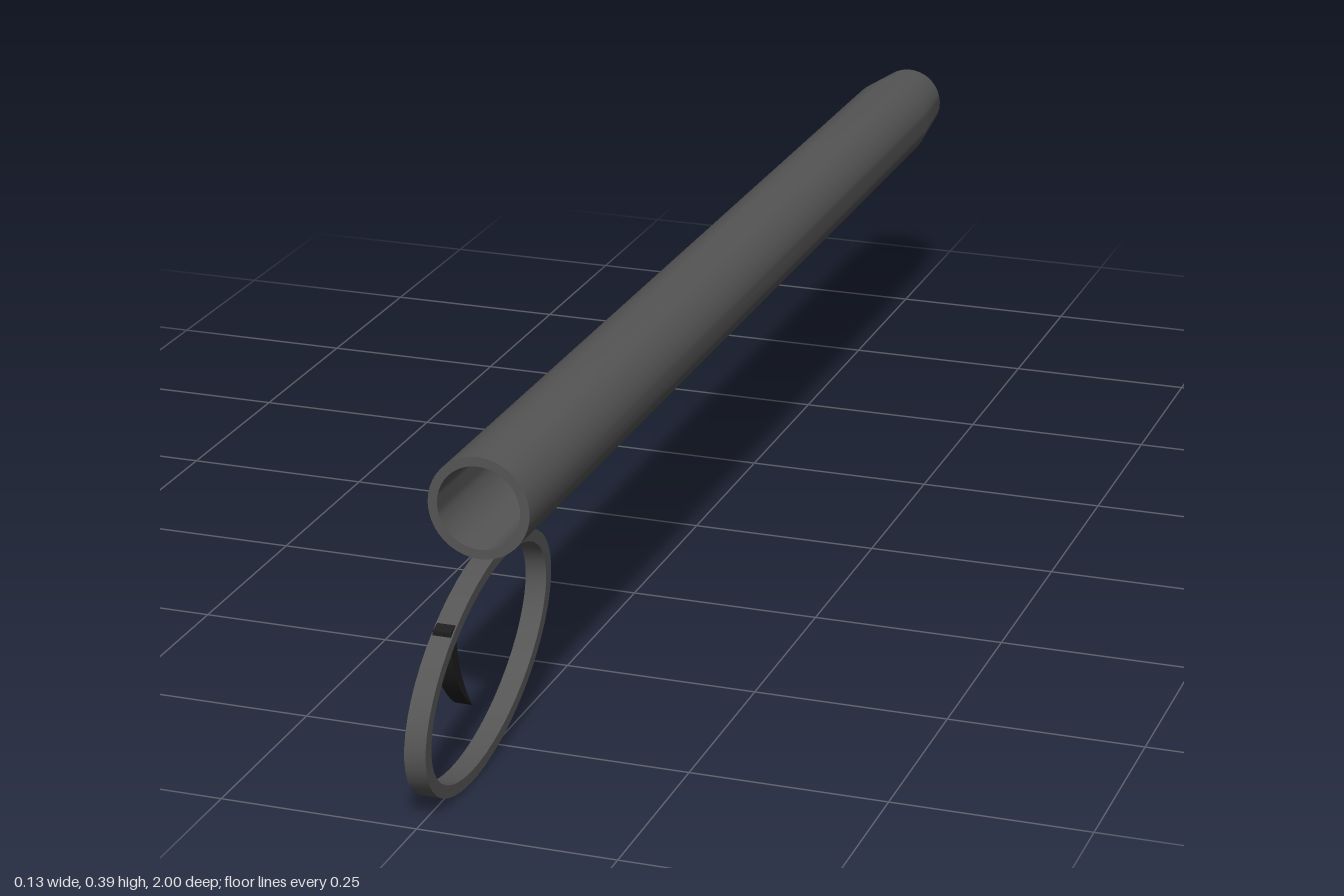
import * as THREE from 'three';
import { toCreasedNormals } from 'three/addons/utils/BufferGeometryUtils.js';

const steel = new THREE.MeshStandardMaterial({ color: 0x555555 });
steel.name = 'dark steel';
const black = new THREE.MeshStandardMaterial({ color: 0x1e1e1e });
black.name = 'black steel';

// Extrude a side profile drawn in (z, y), centred across x
function sidePlate(name, shape, width, material) {
  const geo = new THREE.ExtrudeGeometry(shape, { depth: width, bevelEnabled: false, curveSegments: 24 });
  geo.translate(0, 0, -width / 2);
  geo.rotateY(-Math.PI / 2);
  const mesh = new THREE.Mesh(toCreasedNormals(geo, 0.3), material);
  mesh.name = name;
  return mesh;
}

export function createModel() {
  const group = new THREE.Group();
  group.name = 'hollowRodWithRing';

  // Hollow tapered tube with a narrowed rear tip; profile is (radius, z)
  const profile = [
    [0.041, -1], [0.049, -1], [0.06, -0.89], [0.065, 0.79],
    [0.053, 0.79], [0.041, -1],
  ].map(([r, z]) => new THREE.Vector2(r, z));
  const tubeGeo = new THREE.LatheGeometry(profile, 40);
  tubeGeo.rotateX(Math.PI / 2);
  const tube = new THREE.Mesh(toCreasedNormals(tubeGeo, 0.5), steel);
  tube.name = 'tube';
  tube.position.y = 0.325;
  group.add(tube);

  // Tilted oval finger ring under the front end
  const tilt = -0.288;
  const oval = new THREE.Shape();
  oval.absellipse(0.794, 0.131, 0.212, 0.12, 0, Math.PI * 2, false, tilt);
  const hole = new THREE.Path();
  hole.absellipse(0.794, 0.131, 0.194, 0.106, 0, Math.PI * 2, true, tilt);
  oval.holes.push(hole);
  group.add(sidePlate('fingerRing', oval, 0.027, steel));

  // Curved trigger tapering to a point inside the ring
  const hook = new THREE.Shape();
  hook.moveTo(0.911, 0.215);
  hook.quadraticCurveTo(0.914, 0.145, 0.847, 0.096);
  hook.quadraticCurveTo(0.893, 0.15, 0.896, 0.219);
  hook.closePath();
  group.add(sidePlate('trigger', hook, 0.023, black));

  return group;
}
